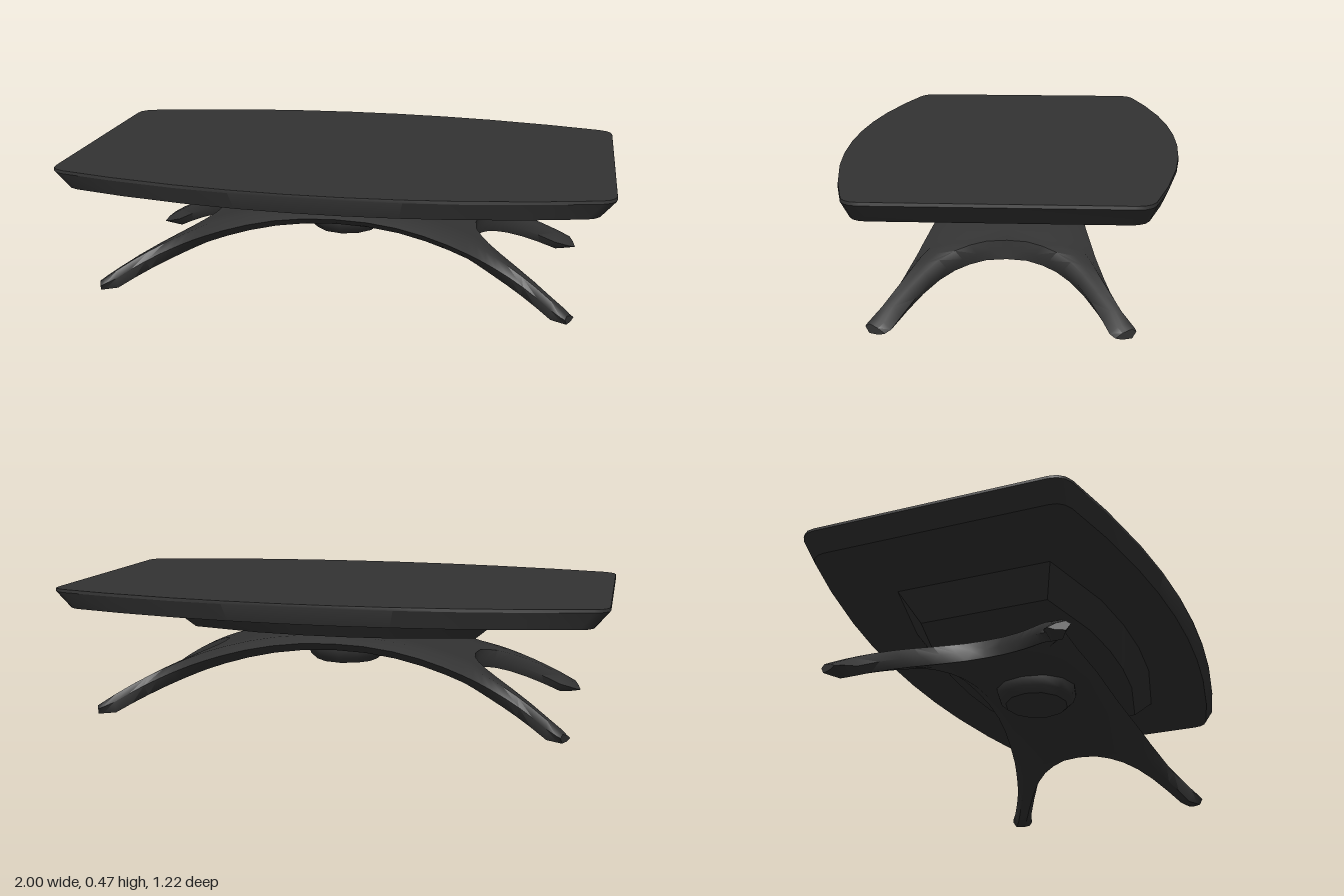
import * as THREE from 'three';
import { toCreasedNormals } from 'three/addons/utils/BufferGeometryUtils.js';

const material = new THREE.MeshStandardMaterial({ color: 0x333333 });

function part(name, geometry, crease) {
  const mesh = new THREE.Mesh(toCreasedNormals(geometry, crease), material);
  mesh.name = name;
  return mesh;
}

function buffer(positions, index) {
  const g = new THREE.BufferGeometry();
  g.setAttribute('position', new THREE.Float32BufferAttribute(positions, 3));
  g.setIndex(index);
  return g;
}

// Full outline from the quarter that runs from the +x side to the +z side
function mirrorOutline(quarter) {
  const back = [...quarter].reverse();
  return [
    ...quarter,
    ...back.map(([x, z]) => [-x, z]),
    ...quarter.map(([x, z]) => [-x, -z]),
    ...back.map(([x, z]) => [x, -z]),
  ];
}

// Convex slab; each layer is [y, scale x, scale z], from bottom to top
function slab(outline, layers) {
  const n = outline.length;
  const pos = [], index = [];
  for (const [y, sx, sz] of layers) for (const [x, z] of outline) pos.push(x * sx, y, z * sz);
  const bottom = n * layers.length, top = bottom + 1, last = n * (layers.length - 1);
  pos.push(0, layers[0][0], 0, 0, layers[layers.length - 1][0], 0);
  for (let i = 0; i < n; i++) {
    const j = (i + 1) % n;
    for (let k = 0; k < layers.length - 1; k++) {
      const a = k * n, b = a + n;
      index.push(a + i, b + i, b + j, a + i, b + j, a + j);
    }
    index.push(bottom, i, j, top, last + j, last + i);
  }
  return buffer(pos, index);
}

// Arched heights of the base sheet along x
const topY = (x) => 0.295 - 0.3 * x ** 2 - 0.08 * x ** 4;
const bottomY = (x) => Math.max(0, 0.24 - 0.375 * x ** 2);

// Stations of one quarter of the base: [inner x, inner z, outer x, outer z]
const stations = [
  [0, 0, 0, 0.25], [0.12, 0, 0.12, 0.25], [0.24, 0, 0.23, 0.255],
  [0.34, 0, 0.33, 0.267], [0.43, 0, 0.42, 0.282], [0.5, 0, 0.49, 0.296],
  [0.505, 0.05, 0.53, 0.304], [0.525, 0.1, 0.565, 0.313], [0.555, 0.15, 0.6, 0.323],
  [0.6, 0.2, 0.65, 0.338], [0.66, 0.247, 0.7, 0.356], [0.73, 0.29, 0.75, 0.38],
  [0.8, 0.33, 0.8, 0.408], [0.86, 0.352, 0.835, 0.432], [0.88, 0.37, 0.85, 0.438],
];

// Four mirrored quarters; each section is a rounded loop of eight points
function baseGeometry() {
  const pos = [], index = [];
  const n = 8;
  for (const [mx, mz] of [[1, 1], [-1, 1], [-1, -1], [1, -1]]) {
    const start = pos.length / 3;
    const face = (a, b, c) => {
      if (mx * mz > 0) index.push(start + a, start + b, start + c);
      else index.push(start + a, start + c, start + b);
    };
    for (const [ix, iz, ox, oz] of stations) {
      const width = Math.hypot(ox - ix, oz - iz);
      const inset = Math.min(0.025, iz * 0.4) / width;
      // [fraction across, fraction down from the top surface]
      const loop = [
        [0, 0.5], [inset, 0], [0.5, 0], [0.78, 0],
        [1, 0.4], [0.8, 1], [0.5, 1], [inset, 1],
      ];
      for (const [u, down] of loop) {
        const x = THREE.MathUtils.lerp(ix, ox, u);
        const z = THREE.MathUtils.lerp(iz, oz, u);
        pos.push(mx * x, THREE.MathUtils.lerp(topY(x), bottomY(x), down), mz * z);
      }
    }
    for (let s = 0; s < stations.length - 1; s++) {
      const joined = stations[s + 1][1] === 0; // no wall where quarters meet
      for (let j = 0; j < n; j++) {
        if (joined && (j === 0 || j === n - 1)) continue;
        const k = (j + 1) % n, a = s * n, b = a + n;
        face(a + j, a + k, b + k);
        face(a + j, b + k, b + j);
      }
    }
    // Foot end
    const end = (stations.length - 1) * n;
    for (let j = 1; j < n - 1; j++) face(end, end + j, end + j + 1);
  }
  return buffer(pos, index);
}

export function createModel() {
  const model = new THREE.Group();
  model.name = 'coffeeTable';

  // Top with bowed long edges, rounded corners and an undercut rim
  const bow = [0.95, 0.75, 0.5, 0.3, 0.1].map((x) => [x, 0.613 - 0.142 * x * x]);
  const topOutline = mirrorOutline([[1, 0.42], [0.995, 0.448], [0.978, 0.47], ...bow]);
  model.add(part('tableTop', slab(topOutline, [
    [0.402, 0.95, 0.96], [0.464, 1, 1], [0.475, 0.998, 0.998],
  ]), 0.5));

  // Tapered block under the top
  const blockOutline = mirrorOutline([[0.63, 0.29], [0.31, 0.37], [0.1, 0.39]]);
  model.add(part('underBlock', slab(blockOutline, [
    [0.315, 0.84, 0.835], [0.403, 1, 1],
  ]), 0.5));

  // Swivel hub passing through the base
  const hubProfile = [[0, 0.175], [0.12, 0.175], [0.145, 0.198], [0.155, 0.225], [0.155, 0.318]]
    .map(([r, y]) => new THREE.Vector2(r, y));
  model.add(part('hub', new THREE.LatheGeometry(hubProfile, 12), 0.7));

  // Arched four-legged base
  model.add(part('legBase', baseGeometry(), 1.0));

  return model;
}
